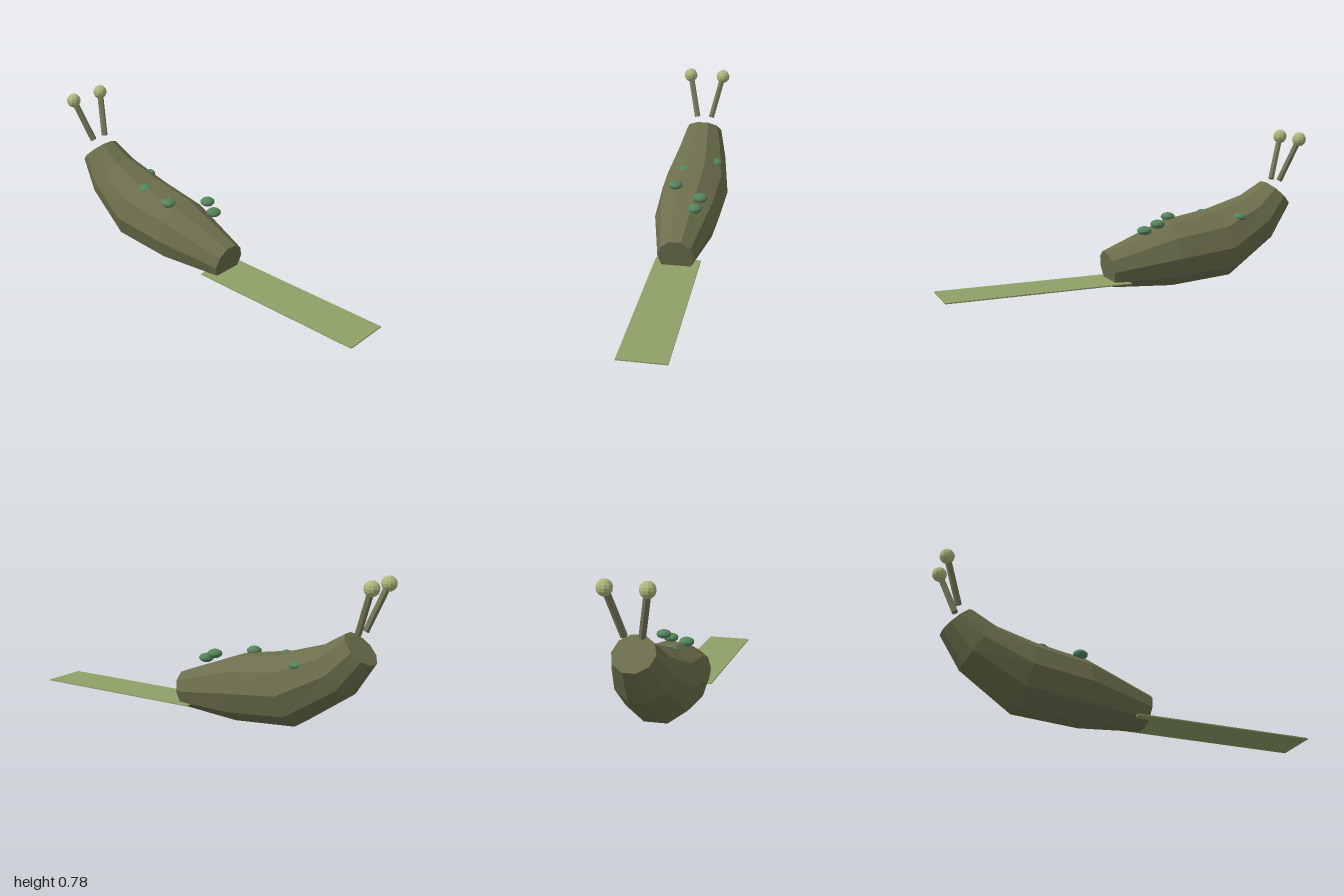
import * as THREE from 'three';

const SIDES = 10;
const flat = (color) => new THREE.MeshStandardMaterial({ color, flatShading: true });

// Lofted body: each ring is [centre z, centre y, radius, tilt of its up direction towards -z as an angle]
function bodyGeometry(rings) {
  const pos = [], index = [];
  for (const [z, y, r, tilt] of rings) {
    for (let j = 0; j < SIDES; j++) {
      const a = ((j + 0.5) / SIDES) * Math.PI * 2;
      const up = r * Math.cos(a);
      pos.push(r * Math.sin(a), y + up * Math.cos(tilt), z + up * Math.sin(tilt));
    }
  }
  for (let i = 0; i < rings.length - 1; i++) {
    for (let j = 0; j < SIDES; j++) {
      const k = (j + 1) % SIDES;
      const a = i * SIDES + j, b = i * SIDES + k;
      index.push(a, b, a + SIDES, b, b + SIDES, a + SIDES);
    }
  }
  // Flat end caps
  const last = (rings.length - 1) * SIDES;
  for (let j = 1; j < SIDES - 1; j++) {
    index.push(0, j + 1, j, last, last + j, last + j + 1);
  }
  const g = new THREE.BufferGeometry();
  g.setAttribute('position', new THREE.Float32BufferAttribute(pos, 3));
  g.setIndex(index);
  g.computeVertexNormals();
  return g;
}

export function createModel() {
  const model = new THREE.Group();
  const add = (name, geometry, material, x = 0, y = 0, z = 0) => {
    const mesh = new THREE.Mesh(geometry, material);
    mesh.name = name;
    mesh.position.set(x, y, z);
    model.add(mesh);
    return mesh;
  };

  // Body, from tail to raised head
  add('body', bodyGeometry([
    [0.125, 0.112, 0.097, 0.17],
    [-0.215, 0.17, 0.174, 0.02],
    [-0.52, 0.205, 0.188, 0.23],
    [-0.755, 0.328, 0.143, 0.58],
    [-0.87, 0.447, 0.102, 0.8],
  ]), flat(0x6c6e4c));

  // Slime trail
  add('slimeTrail', new THREE.BoxGeometry(0.24, 0.006, 0.96), flat(0x8fa068), 0, 0.053, 0.52);

  // Eye stalks and eyes
  const stalkMaterial = flat(0x77795a);
  const eyeMaterial = flat(0xb0b67c);
  for (const [side, s] of [['left', 1], ['right', -1]]) {
    const base = new THREE.Vector3(s * 0.041, 0.523, -0.873);
    const eye = new THREE.Vector3(s * 0.095, 0.75, -0.958);
    const dir = eye.clone().sub(base);
    const mid = base.clone().add(eye).multiplyScalar(0.5);
    const stalk = add(side + 'EyeStalk',
      new THREE.CylinderGeometry(0.017, 0.017, dir.length(), 6), stalkMaterial, ...mid);
    stalk.quaternion.setFromUnitVectors(new THREE.Vector3(0, 1, 0), dir.normalize());
    add(side + 'Eye', new THREE.SphereGeometry(0.038, 10, 8), eyeMaterial, ...eye);
  }

  // Flattened spots on the back
  const spotGeometry = new THREE.SphereGeometry(0.038, 12, 8).scale(1, 0.6, 1);
  const spotMaterial = flat(0x55845c);
  const spots = [
    [0.072, 0.313, -0.05],
    [0.092, 0.346, -0.115],
    [-0.066, 0.35, -0.25],
    [-0.045, 0.358, -0.45],
    [0.109, 0.353, -0.59],
  ];
  spots.forEach((p, i) => add('spot' + (i + 1), spotGeometry, spotMaterial, ...p));

  return model;
}
